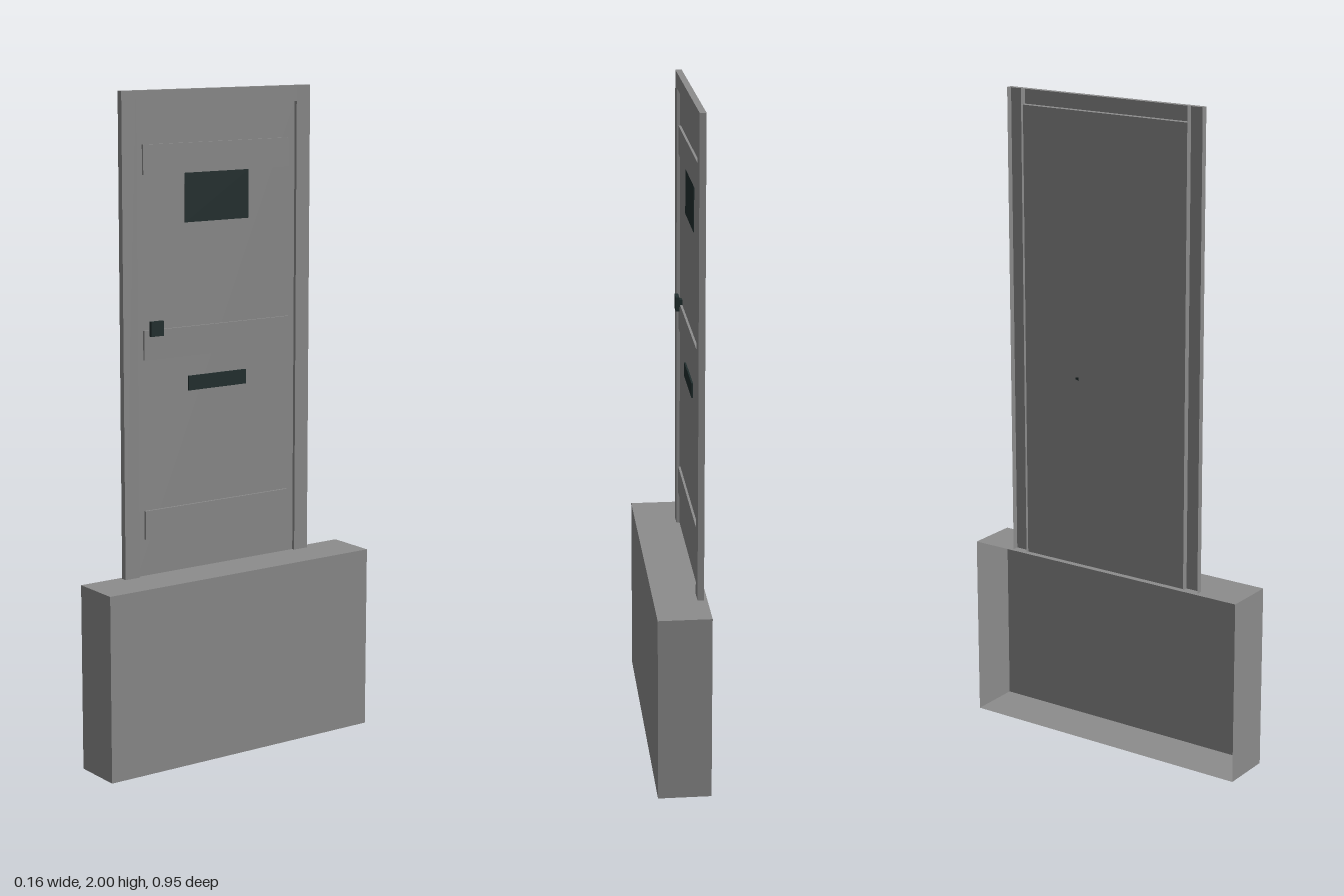
import * as THREE from 'three';

const grey = new THREE.MeshStandardMaterial({ color: 0x8c8c8c });
grey.name = 'grey';
grey.side = THREE.DoubleSide;
const dark = new THREE.MeshStandardMaterial({ color: 0x212e2e });
dark.name = 'dark fittings';

// Box given by its limits; hollow ones have no -x (back) face.
function block(name, material, [x0, x1], [y0, y1], [z0, z1], hollow = false) {
  const geo = new THREE.BoxGeometry(x1 - x0, y1 - y0, z1 - z0);
  if (hollow) {
    const index = Array.from(geo.index.array);
    index.splice(6, 6);
    geo.setIndex(index);
    geo.clearGroups();
  }
  const mesh = new THREE.Mesh(geo, material);
  mesh.name = name;
  mesh.position.set((x0 + x1) / 2, (y0 + y1) / 2, (z0 + z1) / 2);
  return mesh;
}

export function createModel() {
  const model = new THREE.Group();
  model.name = 'doorOnBase';
  const baseTop = 0.566, back = -0.069, frameFront = -0.05, panelFront = -0.06;

  // Base, open at the back
  model.add(block('base', grey, [-0.079, 0.079], [0, baseTop], [-0.475, 0.475], true));

  // Frame: two posts and a header, all open at the back
  model.add(
    block('leftPost', grey, [back, frameFront], [baseTop, 2], [0.288, 0.338], true),
    block('rightPost', grey, [back, frameFront], [baseTop, 2], [-0.338, -0.288], true),
    block('header', grey, [back, frameFront], [1.953, 2], [-0.288, 0.288], true),
  );

  // Door leaf with three raised rails
  const door = new THREE.Group();
  door.name = 'door';
  door.add(block('doorPanel', grey, [back, panelFront], [baseTop, 1.953], [-0.288, 0.288], true));
  for (const y of [0.677, 1.217, 1.758]) {
    door.add(block('rail', grey, [panelFront, -0.053], [y, y + 0.087], [-0.263, 0.263], true));
  }

  // Window, letter slot and handle
  door.add(
    block('window', dark, [panelFront, -0.058], [1.612, 1.757], [-0.115, 0.115]),
    block('letterSlot', dark, [panelFront, -0.055], [1.111, 1.155], [-0.105, 0.105]),
    block('handleStem', dark, [panelFront, -0.049], [1.298, 1.32], [0.214, 0.236]),
    block('handleKnob', dark, [-0.05, -0.039], [1.287, 1.331], [0.203, 0.247]),
  );
  model.add(door);
  return model;
}
